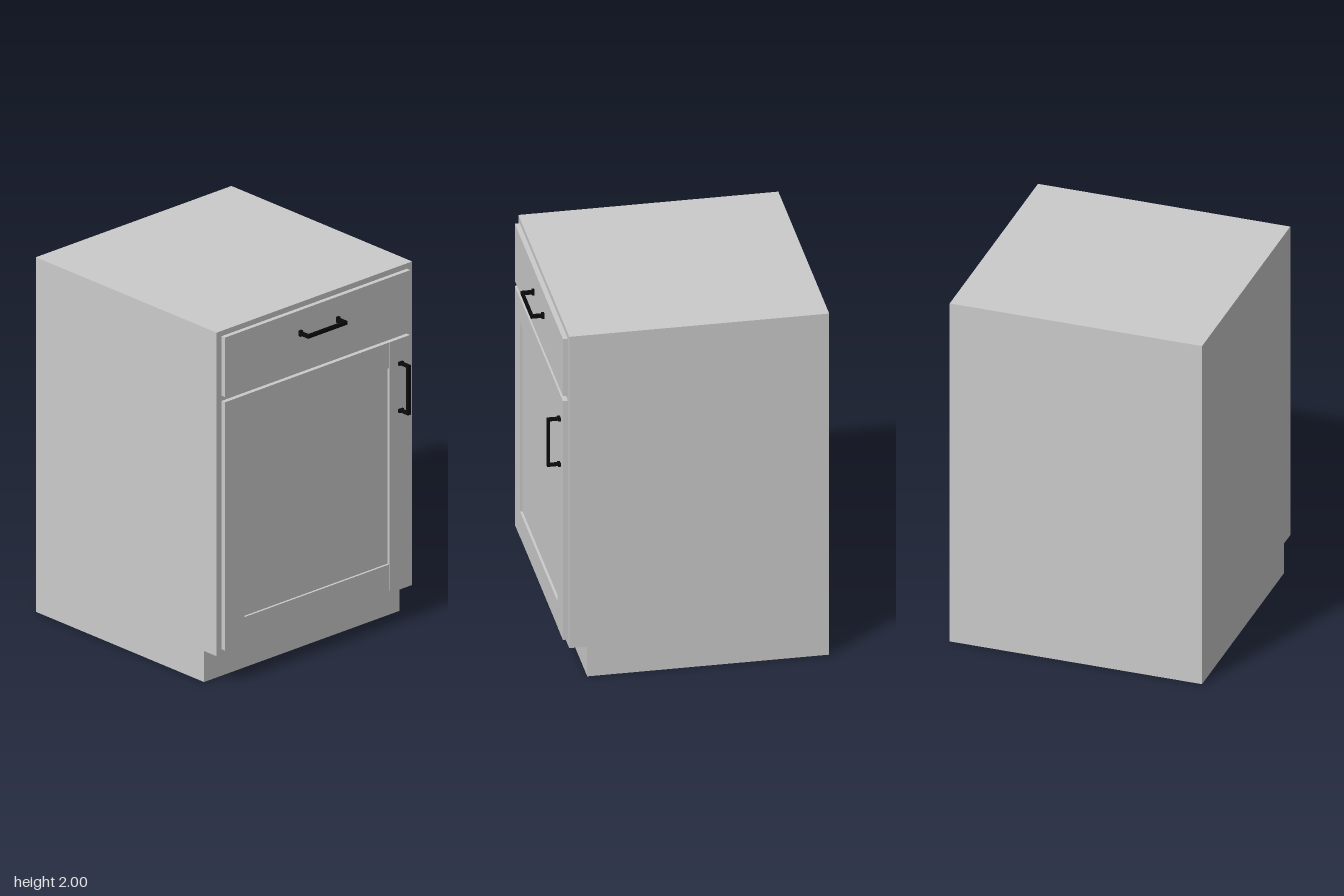
import * as THREE from 'three';

const grey = new THREE.MeshStandardMaterial({ color: 0xcccccc });
const black = new THREE.MeshStandardMaterial({ color: 0x0a0a0a });

// Box given by its lower and upper bounds on each axis
function block(name, [x0, x1], [y0, y1], [z0, z1], material = grey) {
  const mesh = new THREE.Mesh(new THREE.BoxGeometry(x1 - x0, y1 - y0, z1 - z0), material);
  mesh.position.set((x0 + x1) / 2, (y0 + y1) / 2, (z0 + z1) / 2);
  mesh.name = name;
  return mesh;
}

// Bar pull lying along x, mounted on the plane z = 0
function createHandle(name) {
  const handle = new THREE.Group();
  handle.name = name;
  const half = 0.14, reach = 0.071, bar = 0.014;
  handle.add(block('handleBar', [-half, half], [-0.01, 0.01], [reach - bar, reach], black));
  for (const side of [-1, 1]) {
    const x = side * (half - bar / 2);
    handle.add(block('handlePost', [x - bar / 2, x + bar / 2], [-0.01, 0.01], [0, reach - bar], black));
    handle.add(block('handleFoot', [x - 0.009, x + 0.009], [-0.016, 0.016], [0, 0.014], black));
  }
  return handle;
}

export function createModel() {
  const cabinet = new THREE.Group();
  cabinet.name = 'baseCabinet';
  const back = -0.735, front = 0.64, face = 0.666;

  // Carcass: side profile with the toe-kick notch, extruded across the width
  const profile = new THREE.Shape([
    [-back, 0], [-back, 2], [-front, 2], [-front, 0.175], [-0.545, 0.175], [-0.545, 0],
  ].map(([x, y]) => new THREE.Vector2(x, y)));
  const carcassGeometry = new THREE.ExtrudeGeometry(profile, { depth: 1.39, bevelEnabled: false });
  carcassGeometry.rotateY(Math.PI / 2).translate(-0.695, 0, 0);
  const carcass = new THREE.Mesh(carcassGeometry, grey);
  carcass.name = 'carcass';
  cabinet.add(carcass);

  // Slab drawer front
  cabinet.add(block('drawerFront', [-0.66, 0.657], [1.635, 1.97], [front, face]));

  // Framed door: two stiles, two rails and a recessed panel
  const door = new THREE.Group();
  door.name = 'door';
  const left = -0.52, right = 0.508, bottom = 0.205, top = 1.605;
  door.add(
    block('stileRight', [-0.66, left], [bottom, top], [front, face]),
    block('stileLeft', [right, 0.655], [bottom, top], [front, face]),
    block('railTop', [left, right], [1.46, top], [front, face - 0.001]),
    block('railBottom', [left, right], [bottom, 0.353], [front, face - 0.001]),
    block('doorPanel', [left, right], [0.353, 1.46], [front, 0.652]),
  );
  cabinet.add(door);

  // Handles
  const drawerHandle = createHandle('drawerHandle');
  drawerHandle.position.set(0.006, 1.843, face);
  const doorHandle = createHandle('doorHandle');
  doorHandle.rotation.z = Math.PI / 2;
  doorHandle.position.set(0.585, 1.335, face);
  cabinet.add(drawerHandle, doorHandle);

  return cabinet;
}
